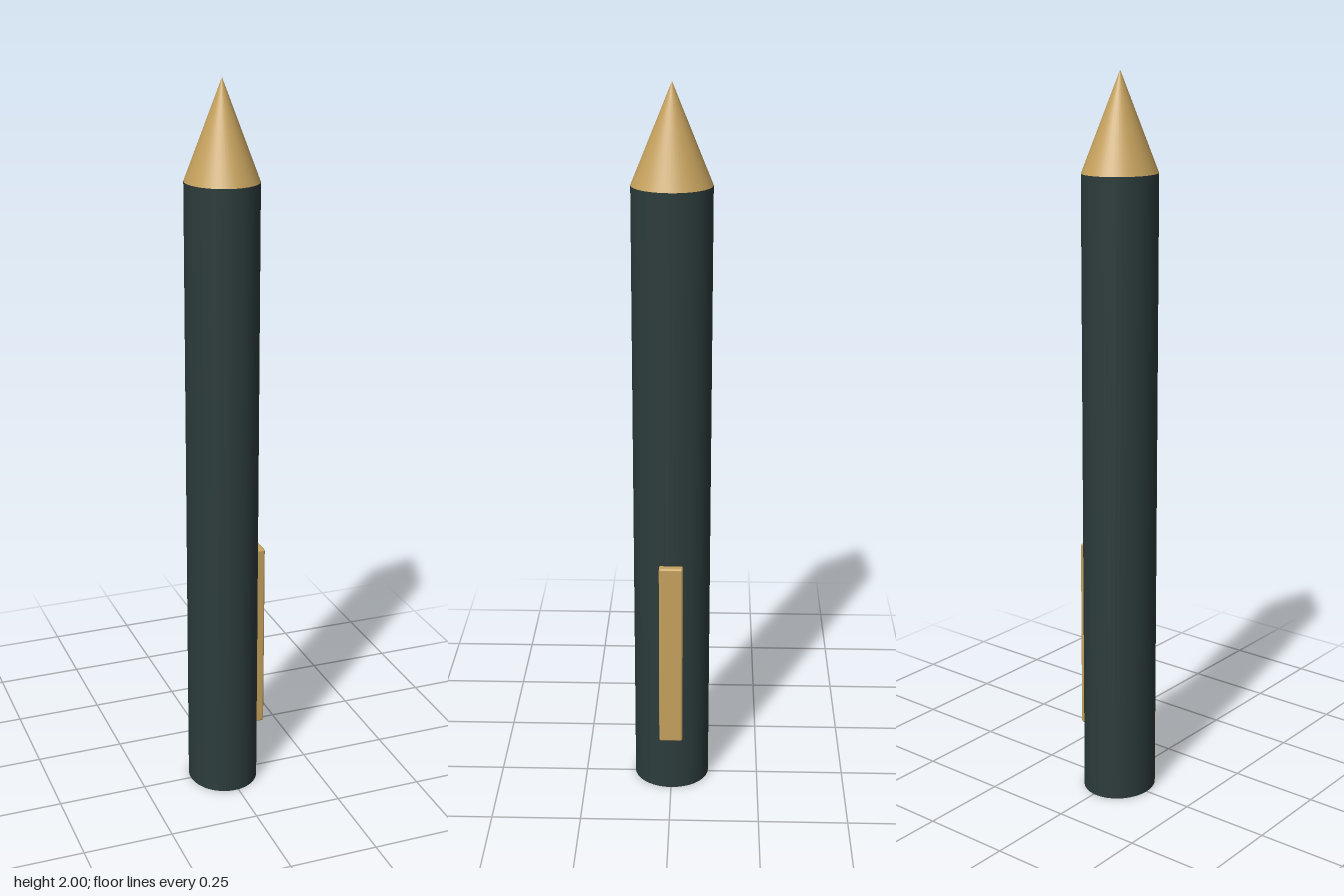
import * as THREE from 'three';
import { RoundedBoxGeometry } from 'three/addons/geometries/RoundedBoxGeometry.js';

const SHAFT_X = -0.01, RADIUS_X = 0.098, RADIUS_Z = 0.1065;
const SHOULDER = 1.74, TIP = 2, SIDES = 48;

export function createModel() {
  const darkGreen = new THREE.MeshStandardMaterial({ color: 0x2d3c3c });
  darkGreen.name = 'dark green';
  const gold = new THREE.MeshStandardMaterial({ color: 0xc6a25e });
  gold.name = 'gold';

  const model = new THREE.Group();
  model.name = 'pointedPost';
  const add = (name, geometry, material, x, y) => {
    const mesh = new THREE.Mesh(geometry, material);
    mesh.name = name;
    mesh.position.set(x, y, 0);
    model.add(mesh);
  };

  // Slightly oval shaft
  const shaft = new THREE.CylinderGeometry(1, 1, SHOULDER, SIDES);
  shaft.scale(RADIUS_X, 1, RADIUS_Z);
  add('shaft', shaft, darkGreen, SHAFT_X, SHOULDER / 2);

  // Conical point, flush with the shaft
  const point = new THREE.ConeGeometry(1, TIP - SHOULDER, SIDES, 1, true);
  point.scale(RADIUS_X, 1, RADIUS_Z);
  add('point', point, gold, SHAFT_X, (SHOULDER + TIP) / 2);

  // Softly rounded plate set into the side
  const plate = new RoundedBoxGeometry(0.036, 0.545, 0.066, 3, 0.006);
  add('sidePlate', plate, gold, 0.088, 0.438);

  return model;
}
